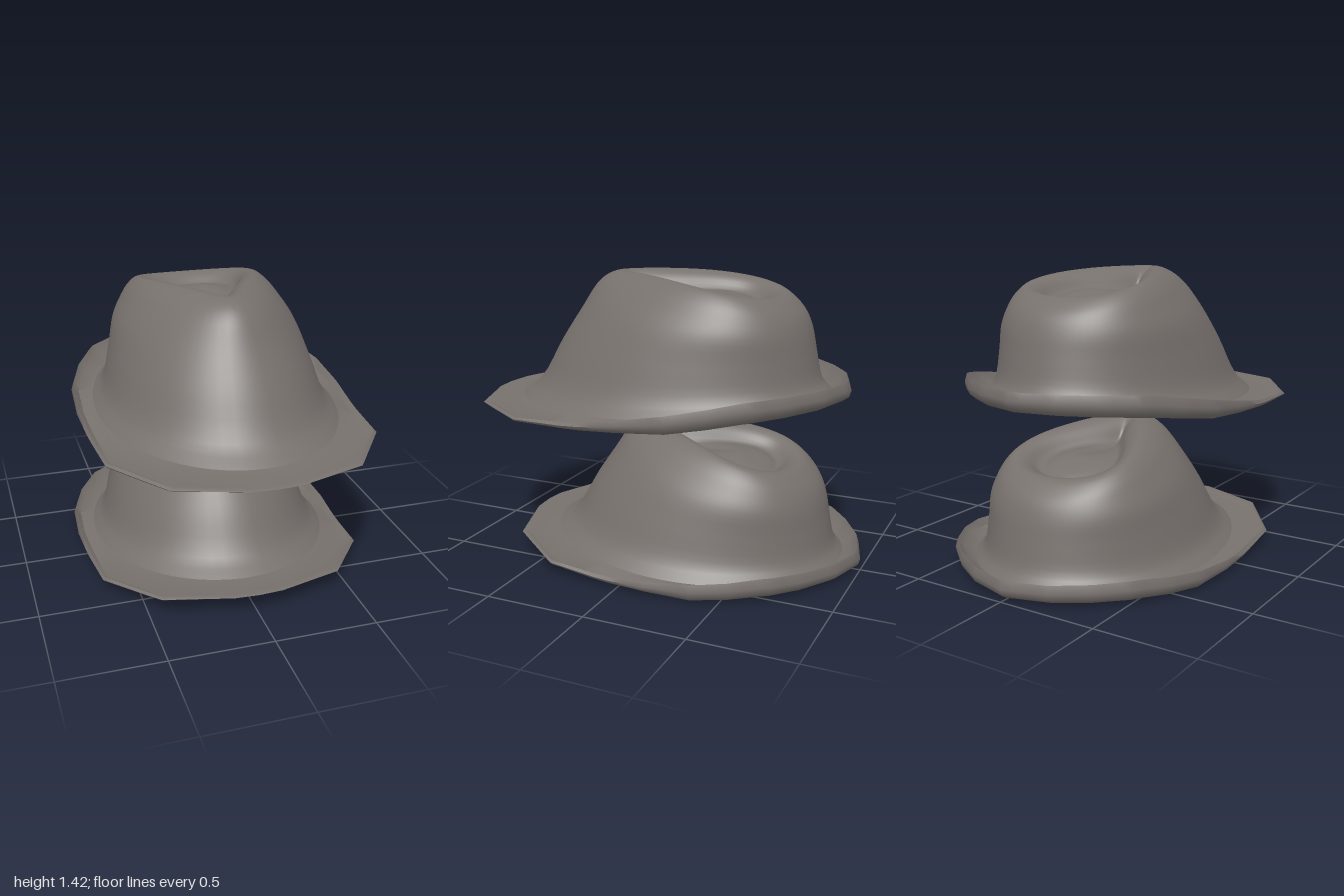
import * as THREE from 'three';
import { toCreasedNormals } from 'three/addons/utils/BufferGeometryUtils.js';

// Half outline of the brim (x, z), from front to back
const OUTLINE = [[0, 0.99], [0.12, 0.98], [0.44, 0.87], [0.66, 0.55], [0.685, 0.2], [0.695, 0],
  [0.68, -0.25], [0.62, -0.43], [0.51, -0.62], [0.38, -0.74], [0.21, -0.85], [0, -0.915]];
// Height of the brim's upper and lower lip along z: the back curls up
const LIP_TOP = [[-0.92, 0.945], [-0.6, 0.935], [-0.25, 0.87], [0, 0.825], [0.24, 0.785], [0.55, 0.775], [1, 0.775]];
const LIP_LOW = [[-0.92, 0.85], [-0.6, 0.83], [-0.25, 0.78], [0.24, 0.748], [0.8, 0.75], [1, 0.762]];

// Crown rings: half width, z front, z back, y front, y side, y back, teardrop pinch
const OPENING = [0.54, 0.71, -0.75, 0.8, 0.8, 0.86, 0];
const CROWN = [
  [0.60, 0.82, -0.80, 0.788, 0.81, 0.88, 0],
  [0.545, 0.72, -0.757, 0.865, 0.88, 0.93, 0],
  [0.50, 0.60, -0.725, 1.07, 1.05, 1.06, 0.05],
  [0.465, 0.49, -0.70, 1.24, 1.20, 1.17, 0.15],
  [0.42, 0.42, -0.67, 1.35, 1.29, 1.24, 0.25],
  [0.37, 0.36, -0.63, 1.40, 1.365, 1.285, 0.4],
  [0.31, 0.28, -0.56, 1.42, 1.405, 1.33, 0.6],
  [0.25, 0.20, -0.50, 1.38, 1.38, 1.32, 0.75],
  [0.19, 0.13, -0.43, 1.31, 1.32, 1.28, 0.8],
  [0.12, 0.03, -0.39, 1.30, 1.33, 1.30, 0.5],
  [0, -0.24, -0.24, 1.34, 1.34, 1.34, 0],
];

function lookup(table, z) {
  let k = 0;
  while (k < table.length - 2 && z > table[k + 1][0]) k++;
  const [z0, y0] = table[k], [z1, y1] = table[k + 1];
  return y0 + (y1 - y0) * THREE.MathUtils.clamp((z - z0) / (z1 - z0), 0, 1);
}

function ringPoint([w, zF, zB, yF, yS, yB, pinch], a) {
  const c = Math.cos(a);
  return new THREE.Vector3(
    w * Math.sin(a) * (1 - pinch * c) / (1 + 0.3 * pinch),
    yS + (yF - yB) / 2 * c + ((yF + yB) / 2 - yS) * c * c,
    (zF + zB) / 2 + (zF - zB) / 2 * c);
}

// Straight-sided brim outline, each side split for a smooth crown
function outlineLoop() {
  const half = [];
  for (let k = 0; k < OUTLINE.length - 1; k++) {
    const [x0, z0] = OUTLINE[k], [x1, z1] = OUTLINE[k + 1];
    for (let s = 0; s < 4; s++) half.push([x0 + (x1 - x0) * s / 4, z0 + (z1 - z0) * s / 4]);
  }
  half.push(OUTLINE[OUTLINE.length - 1]);
  const mirrored = half.slice(1, -1).reverse().map(([x, z]) => [-x, z]);
  return [...half, ...mirrored];
}

// Skin a loop of equally long columns
function skin(columns) {
  const n = columns.length, m = columns[0].length, index = [];
  for (let i = 0; i < n; i++) {
    for (let j = 0; j < m - 1; j++) {
      const a = i * m + j, b = ((i + 1) % n) * m + j;
      index.push(a, b, a + 1);
      if (j < m - 2 || columns[i][m - 1].distanceTo(columns[(i + 1) % n][m - 1]) > 1e-5) index.push(b, b + 1, a + 1);
    }
  }
  const geo = new THREE.BufferGeometry().setFromPoints(columns.flat());
  geo.setIndex(index);
  return toCreasedNormals(geo, 0.9);
}

function buildHat(material) {
  const brim = [], crown = [];
  for (const [x, z] of outlineLoop()) {
    const a = Math.atan2(x / 0.7, (z - 0.04) / 0.95);
    const top = lookup(LIP_TOP, z), low = lookup(LIP_LOW, z);
    const at = (s, y) => new THREE.Vector3(x * s, y, 0.04 + (z - 0.04) * s);
    const start = ringPoint(CROWN[0], a);
    // Brim: underside, rolled lip, upper side
    brim.push([ringPoint(OPENING, a), at(0.955, low), at(0.99, low + (top - low) * 0.25),
      at(1, low + (top - low) * 0.6), at(0.985, top), at(0.95, low + (top - low) * 0.55), start]);
    // Crown: wall, rim and teardrop dent
    crown.push(new THREE.CatmullRomCurve3(CROWN.map((r) => ringPoint(r, a))).getPoints(40));
  }
  const hat = new THREE.Group();
  for (const [name, columns] of [['brim', brim], ['crown', crown]]) {
    const mesh = new THREE.Mesh(skin(columns), material);
    mesh.name = name;
    hat.add(mesh);
  }
  return hat;
}

export function createModel() {
  const felt = new THREE.MeshStandardMaterial({ color: 0x77716d, side: THREE.DoubleSide });
  felt.name = 'grey felt';
  const model = new THREE.Group();
  model.name = 'stackedHats';

  const upper = buildHat(felt);
  upper.name = 'upperHat';

  // The lower hat is slightly shorter and tipped back
  const lower = buildHat(felt);
  lower.name = 'lowerHat';
  const tip = new THREE.Matrix4().set(
    1.01, 0, 0, 0,
    0, 0.95, 0.094, -0.714,
    0, 0, 0.932, -0.145,
    0, 0, 0, 1);
  lower.children.forEach((mesh) => mesh.geometry.applyMatrix4(tip));

  model.add(upper, lower);
  return model;
}
